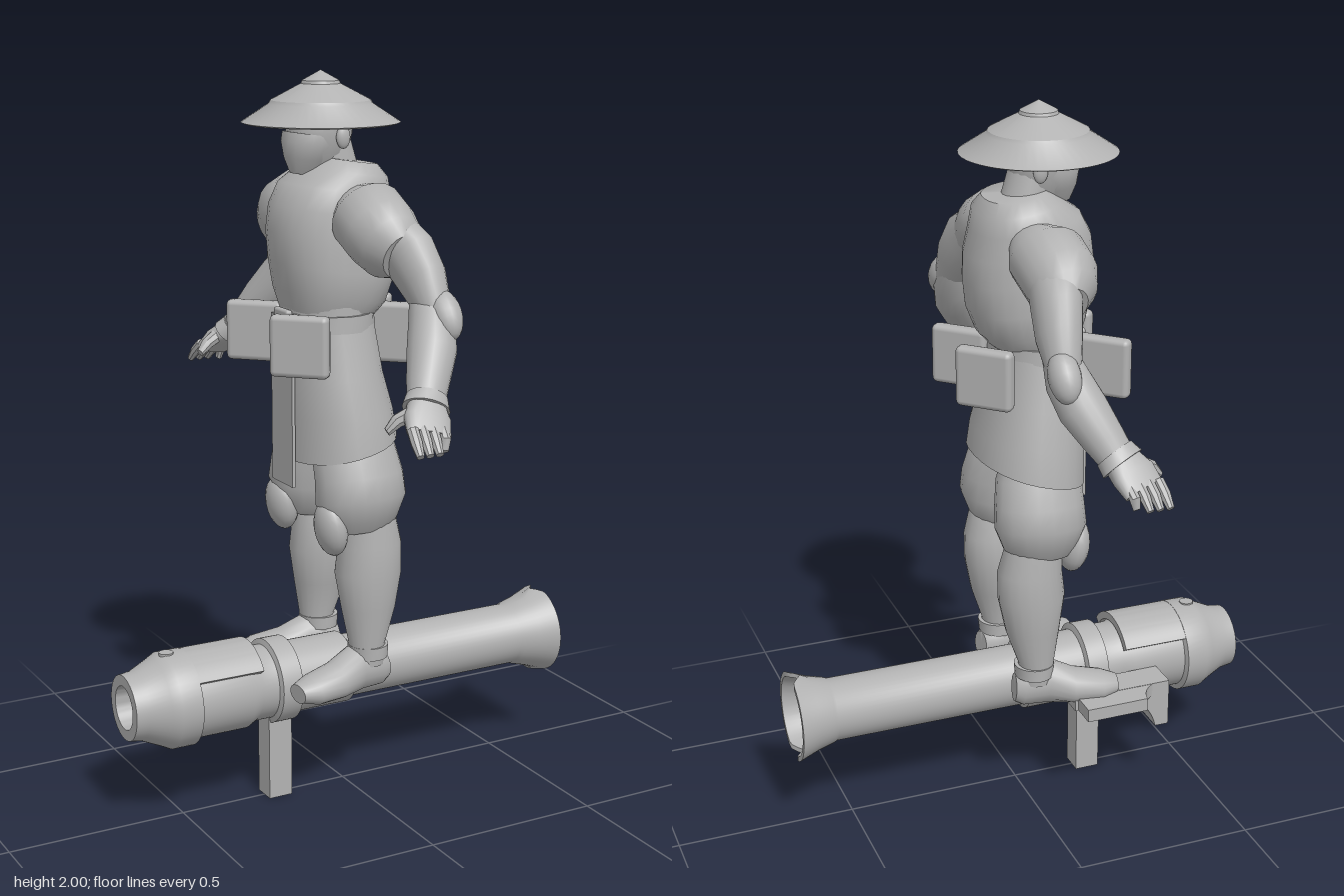
import * as THREE from 'three';
import { toCreasedNormals } from 'three/addons/utils/BufferGeometryUtils.js';
import { RoundedBoxGeometry } from 'three/addons/geometries/RoundedBoxGeometry.js';

const grey = new THREE.MeshStandardMaterial({ color: 0xb2b2b2, side: THREE.DoubleSide });
grey.name = 'grey';

const X = new THREE.Vector3(1, 0, 0), Z = new THREE.Vector3(0, 0, 1);

// Lofted solid through sections [x, y, z, radiusA, radiusB]; radiusA lies along ref.
function loft(sections, { n = 20, ref = X, power = 2 } = {}) {
  const c = sections.map(s => new THREE.Vector3(s[0], s[1], s[2]));
  const t = c[c.length - 1].clone().sub(c[0]).normalize();
  const u = ref.clone().addScaledVector(t, -ref.dot(t)).normalize();
  const v = t.clone().cross(u);
  const pos = [], index = [];
  const soft = w => Math.sign(w) * Math.abs(w) ** (2 / power);
  sections.forEach((s, i) => {
    for (let j = 0; j < n; j++) {
      const a = j / n * Math.PI * 2;
      const p = c[i].clone().addScaledVector(u, soft(Math.cos(a)) * s[3])
        .addScaledVector(v, soft(Math.sin(a)) * (s[4] ?? s[3]));
      pos.push(p.x, p.y, p.z);
    }
  });
  const last = sections.length - 1;
  for (let i = 0; i < last; i++) for (let j = 0; j < n; j++) {
    const a = i * n + j, b = i * n + (j + 1) % n;
    index.push(a, b, b + n, a, b + n, a + n);
  }
  pos.push(...c[0].toArray(), ...c[last].toArray());
  const end = (last + 1) * n;
  for (let j = 0; j < n; j++) {
    const k = (j + 1) % n;
    index.push(end, k, j, end + 1, last * n + j, last * n + k);
  }
  const g = new THREE.BufferGeometry();
  g.setAttribute('position', new THREE.Float32BufferAttribute(pos, 3));
  g.setIndex(index);
  return toCreasedNormals(g, 0.75);
}

// Move vertices by a rule
function bend(g, rule) {
  const p = g.attributes.position, v = new THREE.Vector3();
  for (let i = 0; i < p.count; i++) {
    rule(v.fromBufferAttribute(p, i));
    p.setXYZ(i, v.x, v.y, v.z);
  }
  return toCreasedNormals(g, 0.75);
}

function add(parent, name, geometry, x = 0, y = 0, z = 0) {
  const m = new THREE.Mesh(geometry, grey);
  m.name = name;
  m.position.set(x, y, z);
  parent.add(m);
  return m;
}

const lathe = (pts, n = 40) =>
  toCreasedNormals(new THREE.LatheGeometry(pts.map(p => new THREE.Vector2(...p)), n), 0.5);
const ball = (a, b, c) => new THREE.SphereGeometry(1, 18, 12).scale(a, b, c);

function buildLauncher() {
  const g = new THREE.Group();
  g.name = 'launcher';
  // Hollow barrel, profile given as [radius, x]; the rim is notched above and below
  const barrel = lathe([[0, -0.54], [0.055, -0.54], [0.06, -0.665], [0.09, -0.665], [0.095, -0.63], [0.12, -0.575],
    [0.133, -0.55], [0.133, -0.49], [0.117, -0.485], [0.117, -0.33], [0.103, -0.3], [0.103, -0.25], [0.118, -0.245],
    [0.118, -0.185], [0.1, -0.18], [0.1, -0.01], [0.088, 0], [0.088, 0.55], [0.093, 0.56], [0.105, 0.605],
    [0.126, 0.662], [0.112, 0.662], [0.078, 0.55], [0.075, 0.3], [0, 0.3]], 48).rotateZ(-Math.PI / 2);
  add(g, 'barrel', bend(barrel, v => {
    if (v.x > 0.64) v.x -= 0.028 * Math.max(0, 1 - Math.abs(v.z) / 0.035);
  }), 0, 0.34, 0);
  // Raised cover
  const arc = new THREE.Shape();
  arc.absarc(0, 0, 0.132, 0.6, Math.PI - 0.6, false);
  arc.absarc(0, 0, 0.11, Math.PI - 0.6, 0.6, true);
  add(g, 'cover', toCreasedNormals(new THREE.ExtrudeGeometry(arc, { depth: 0.19, bevelEnabled: false, curveSegments: 16 })
    .rotateY(Math.PI / 2), 0.5), -0.49, 0.34, 0);
  add(g, 'knob', new THREE.CylinderGeometry(0.02, 0.02, 0.02, 16), -0.54, 0.466, 0);
  add(g, 'grip', new THREE.BoxGeometry(0.07, 0.26, 0.068), -0.215, 0.13, 0);
  // Shoulder rest: an arched bracket with a flat side plate
  const arch = new THREE.Shape();
  arch.moveTo(-0.39, 0.21);
  arch.lineTo(-0.35, 0.21);
  arch.quadraticCurveTo(-0.33, 0.3, -0.24, 0.31);
  arch.lineTo(-0.1, 0.31);
  arch.lineTo(-0.1, 0.35);
  arch.lineTo(-0.39, 0.35);
  add(g, 'shoulderRest', new THREE.ExtrudeGeometry(arch, { depth: 0.09, bevelEnabled: false }), 0, 0, -0.21);
  const plate = new THREE.Shape();
  plate.moveTo(-0.36, 0.2);
  plate.quadraticCurveTo(-0.3, 0.22, -0.29, 0.28);
  plate.lineTo(-0.11, 0.28);
  plate.lineTo(-0.11, 0.2);
  add(g, 'restPlate', new THREE.ExtrudeGeometry(plate, { depth: 0.038, bevelEnabled: false })
    .rotateX(-Math.PI / 2), 0, 0.311, 0);
  return g;
}

function buildLeg(s) {
  const g = new THREE.Group();
  g.name = s > 0 ? 'legNear' : 'legFar';
  add(g, 'trouser', loft([[-0.02, 0.78, 0.14 * s, 0.085, 0.065], [-0.02, 0.81, 0.14 * s, 0.105, 0.085],
    [-0.02, 0.87, 0.14 * s, 0.128, 0.106], [-0.02, 0.93, 0.13 * s, 0.125, 0.1],
    [-0.025, 1.0, 0.108 * s, 0.118, 0.096], [-0.03, 1.08, 0.09 * s, 0.09, 0.08]]));
  add(g, 'shin', loft([[-0.005, 0.4, 0.145 * s, 0.05, 0.05], [-0.005, 0.46, 0.147 * s, 0.05, 0.052],
    [0.003, 0.56, 0.14 * s, 0.076, 0.07], [0.005, 0.66, 0.135 * s, 0.094, 0.084],
    [0.01, 0.74, 0.135 * s, 0.09, 0.078], [0, 0.82, 0.14 * s, 0.08, 0.065]]));
  add(g, 'kneePad', ball(0.042, 0.078, 0.058), -0.115, 0.8, 0.145 * s).rotation.z = 0.15;
  // Foot, flattened at the sole
  add(g, 'foot', bend(loft([[0.055, 0.38, 0.135 * s, 0.035, 0.04], [0.03, 0.385, 0.137 * s, 0.048, 0.06],
    [-0.04, 0.39, 0.145 * s, 0.053, 0.066], [-0.11, 0.368, 0.16 * s, 0.058, 0.053],
    [-0.19, 0.362, 0.176 * s, 0.055, 0.042], [-0.235, 0.36, 0.18 * s, 0.035, 0.026]], { ref: Z }),
  v => { v.y = Math.max(v.y, 0.33); }));
  add(g, 'ankleCuff', loft([[0, 0.42, 0.145 * s, 0.053, 0.058], [0, 0.455, 0.145 * s, 0.056, 0.058]]));
  return g;
}

function buildArm(s) {
  const g = new THREE.Group();
  g.name = s > 0 ? 'armNear' : 'armFar';
  add(g, 'shoulder', loft([[-0.01, 1.66, 0.11 * s, 0.07, 0.06], [-0.02, 1.635, 0.17 * s, 0.102, 0.1],
    [-0.025, 1.6, 0.25 * s, 0.1, 0.1], [-0.02, 1.57, 0.3 * s, 0.085, 0.093], [-0.01, 1.55, 0.335 * s, 0.055, 0.065]]));
  add(g, 'upperArm', loft([[-0.005, 1.6, 0.26 * s, 0.07, 0.075], [0.015, 1.55, 0.325 * s, 0.063, 0.086],
    [0.028, 1.49, 0.375 * s, 0.058, 0.074], [0.035, 1.41, 0.43 * s, 0.042, 0.045]]));
  add(g, 'forearm', loft([[0.035, 1.46, 0.375 * s, 0.042], [0.025, 1.395, 0.42 * s, 0.058, 0.062],
    [0, 1.33, 0.465 * s, 0.064, 0.062], [-0.038, 1.26, 0.51 * s, 0.055, 0.052], [-0.068, 1.205, 0.55 * s, 0.046, 0.04]]));
  add(g, 'elbowPad', ball(0.042, 0.07, 0.045), 0.045, 1.415, 0.453 * s).rotation.x = -0.6 * s;
  add(g, 'wristCuff', loft([[-0.056, 1.23, 0.535 * s, 0.054, 0.046], [-0.07, 1.207, 0.555 * s, 0.062, 0.047]]));
  add(g, 'palm', loft([[-0.068, 1.215, 0.55 * s, 0.048, 0.036], [-0.085, 1.19, 0.585 * s, 0.06, 0.028],
    [-0.1, 1.158, 0.62 * s, 0.057, 0.018]], { power: 2.6 }));
  for (let i = 0; i < 4; i++) {
    const x = -0.06 - i * 0.027, reach = i === 0 ? 0.645 : 0.667;
    add(g, 'finger', loft([[x, 1.175, 0.61 * s, 0.015], [x - 0.006, 1.148, 0.64 * s, 0.015],
      [x - 0.01, 1.12, reach * s, 0.01]], { n: 8 }));
  }
  add(g, 'thumb', loft([[-0.1, 1.21, 0.565 * s, 0.022], [-0.15, 1.185, 0.55 * s, 0.018],
    [-0.175, 1.16, 0.545 * s, 0.011]], { n: 8, ref: Z }));
  return g;
}

function buildBody() {
  const g = new THREE.Group();
  g.name = 'body';
  add(g, 'jacket', loft([[-0.055, 1.36, 0, 0.115, 0.13], [-0.042, 1.41, 0, 0.145, 0.155], [-0.035, 1.48, 0, 0.165, 0.162],
    [-0.035, 1.56, 0, 0.174, 0.158], [-0.032, 1.63, 0, 0.168, 0.155], [-0.025, 1.69, 0, 0.145, 0.15],
    [0, 1.735, 0, 0.11, 0.135], [0.005, 1.765, 0, 0.08, 0.1]], { n: 28, power: 2.3 }));
  add(g, 'waist', loft([[-0.055, 1.3, 0, 0.115, 0.145], [-0.055, 1.4, 0, 0.115, 0.145]], { n: 28 }));
  add(g, 'belt', loft([[-0.053, 1.325, 0, 0.125, 0.155], [-0.053, 1.37, 0, 0.124, 0.153]], { n: 28 }));
  // Robe skirt, hem lower at the front
  add(g, 'skirt', bend(loft([[-0.028, 1.005, 0, 0.148, 0.216], [-0.033, 1.1, 0, 0.144, 0.203],
    [-0.045, 1.2, 0, 0.131, 0.178], [-0.053, 1.34, 0, 0.118, 0.15]], { n: 28, power: 2.2 }),
  v => { if (v.y < 1.05) v.y += 0.17 * (v.x + 0.03); }));
  add(g, 'frontCloth', new THREE.BoxGeometry(0.009, 0.46, 0.12), -0.181, 1.13, 0);
  add(g, 'buckle', new RoundedBoxGeometry(0.02, 0.06, 0.08, 2, 0.008), -0.18, 1.35, 0);
  // Belt pouches, all hung at the same angle
  for (const [x, z] of [[-0.2, -0.125], [-0.2, 0.135], [0.125, -0.105], [0.125, 0.085]]) {
    add(g, 'pouch', new RoundedBoxGeometry(0.16, 0.165, 0.042, 2, 0.015), x, 1.302, z).rotation.y = -Math.PI / 4;
  }
  return g;
}

function buildHead() {
  const g = new THREE.Group();
  g.name = 'head';
  add(g, 'neck', loft([[-0.02, 1.7, 0, 0.07, 0.07], [-0.045, 1.82, 0, 0.06, 0.06]]));
  add(g, 'skull', loft([[-0.07, 1.75, 0, 0.06, 0.045], [-0.07, 1.79, 0, 0.08, 0.066], [-0.07, 1.84, 0, 0.092, 0.075],
    [-0.065, 1.89, 0, 0.09, 0.075], [-0.065, 1.93, 0, 0.06, 0.05]]));
  add(g, 'mask', loft([[-0.11, 1.73, 0, 0.045, 0.03], [-0.11, 1.77, 0, 0.06, 0.055], [-0.1, 1.81, 0, 0.076, 0.072],
    [-0.095, 1.835, 0, 0.077, 0.07]]));
  for (const s of [-1, 1]) add(g, 'ear', ball(0.02, 0.03, 0.012), -0.04, 1.83, 0.077 * s);
  // Conical hat with a hollow underside and stepped bands
  add(g, 'hat', lathe([[0, 1.93], [0.1, 1.905], [0.2, 1.862], [0.21, 1.866], [0.137, 1.914], [0.132, 1.923],
    [0.052, 1.965], [0.049, 1.973], [0, 2.0]], 48), -0.065, 0, 0);
  return g;
}

export function createModel() {
  const model = new THREE.Group();
  model.name = 'figureOnLauncher';
  model.add(buildLauncher(), buildBody(), buildHead());
  for (const s of [1, -1]) model.add(buildLeg(s), buildArm(s));
  return model;
}
